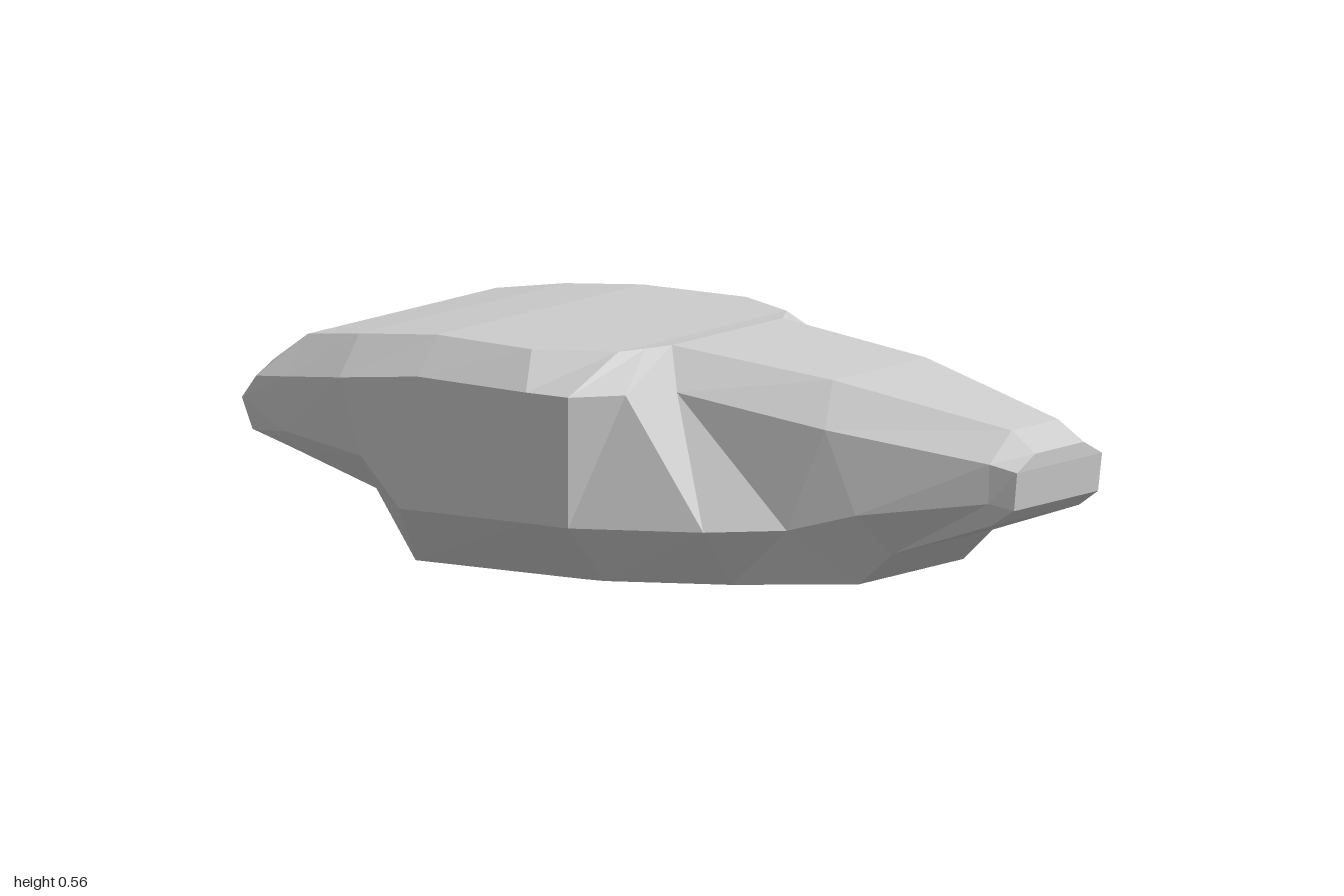
import * as THREE from 'three';

// Half cross-sections from tail (-x) to nose (+x).
// Each holds four [x, y, z] points: roof edge, shoulder, lower side, keel edge.
const SECTIONS = [
  [[-0.94, 0.46, 0.455], [-0.96, 0.425, 0.5], [-1, 0.37, 0.5], [-0.97, 0.295, 0.5]],
  [[-0.86, 0.525, 0.425], [-0.86, 0.434, 0.522], [-0.86, 0.3, 0.522], [-0.86, 0.26, 0.5]],
  [[-0.69, 0.545, 0.465], [-0.69, 0.45, 0.555], [-0.63, 0.265, 0.555], [-0.62, 0.18, 0.5]],
  [[-0.47, 0.56, 0.465], [-0.47, 0.47, 0.555], [-0.52, 0.145, 0.555], [-0.54, 0.005, 0.45]],
  [[-0.19, 0.55, 0.485], [-0.15, 0.46, 0.575], [-0.15, 0.143, 0.575], [-0.06, 0, 0.46]],
  [[-0.01, 0.545, 0.38], [-0.03, 0.457, 0.575], [-0.03, 0.14, 0.575], [0, 0, 0.46]],
  [[0.025, 0.547, 0.315], [0.06, 0.455, 0.46], [0.28, 0.14, 0.46], [0.29, 0, 0.35]],
  [[0.06, 0.55, 0.25], [0.14, 0.455, 0.355], [0.45, 0.145, 0.355], [0.58, 0.01, 0.235]],
  [[0.49, 0.495, 0.21], [0.53, 0.39, 0.31], [0.62, 0.19, 0.315], [0.67, 0.09, 0.225]],
  [[0.93, 0.395, 0.105], [0.93, 0.325, 0.205], [0.93, 0.23, 0.21], [0.93, 0.175, 0.2]],
  [[1, 0.345, 0.11], [1, 0.308, 0.192], [0.99, 0.215, 0.19], [0.99, 0.225, 0.115]],
];

// Mirrors each half section into a closed ring and skins the rings.
function loftHull(sections) {
  const positions = [];
  const index = [];
  for (const half of sections) {
    const mirrored = half.map(([x, y, z]) => [x, y, -z]).reverse();
    for (const p of [...half, ...mirrored]) positions.push(...p);
  }

  const N = 8;
  for (let i = 0; i < sections.length - 1; i++) {
    for (let j = 0; j < N; j++) {
      const k = (j + 1) % N;
      const a = i * N + j, b = a + N;
      const c = i * N + k, d = c + N;
      // Diagonals mirror across the centre plane
      if (j < 4) index.push(a, c, b, b, c, d);
      else index.push(a, c, d, a, d, b);
    }
  }

  // Nose and tail caps, as horizontal strips
  const nose = (sections.length - 1) * N;
  for (let j = 0; j < 3; j++) {
    const strip = [j, j + 1, 6 - j, j, 6 - j, 7 - j];
    index.push(...strip.map((v) => v + nose));
    index.push(...strip.reverse());
  }

  const indexed = new THREE.BufferGeometry();
  indexed.setAttribute('position', new THREE.Float32BufferAttribute(positions, 3));
  indexed.setIndex(index);
  const geometry = indexed.toNonIndexed();
  geometry.computeVertexNormals();
  return geometry;
}

export function createModel() {
  const group = new THREE.Group();
  group.name = 'facetedHull';
  const material = new THREE.MeshStandardMaterial({ color: 0xcccccc, flatShading: true });
  const hull = new THREE.Mesh(loftHull(SECTIONS), material);
  hull.name = 'hull';
  group.add(hull);
  return group;
}
